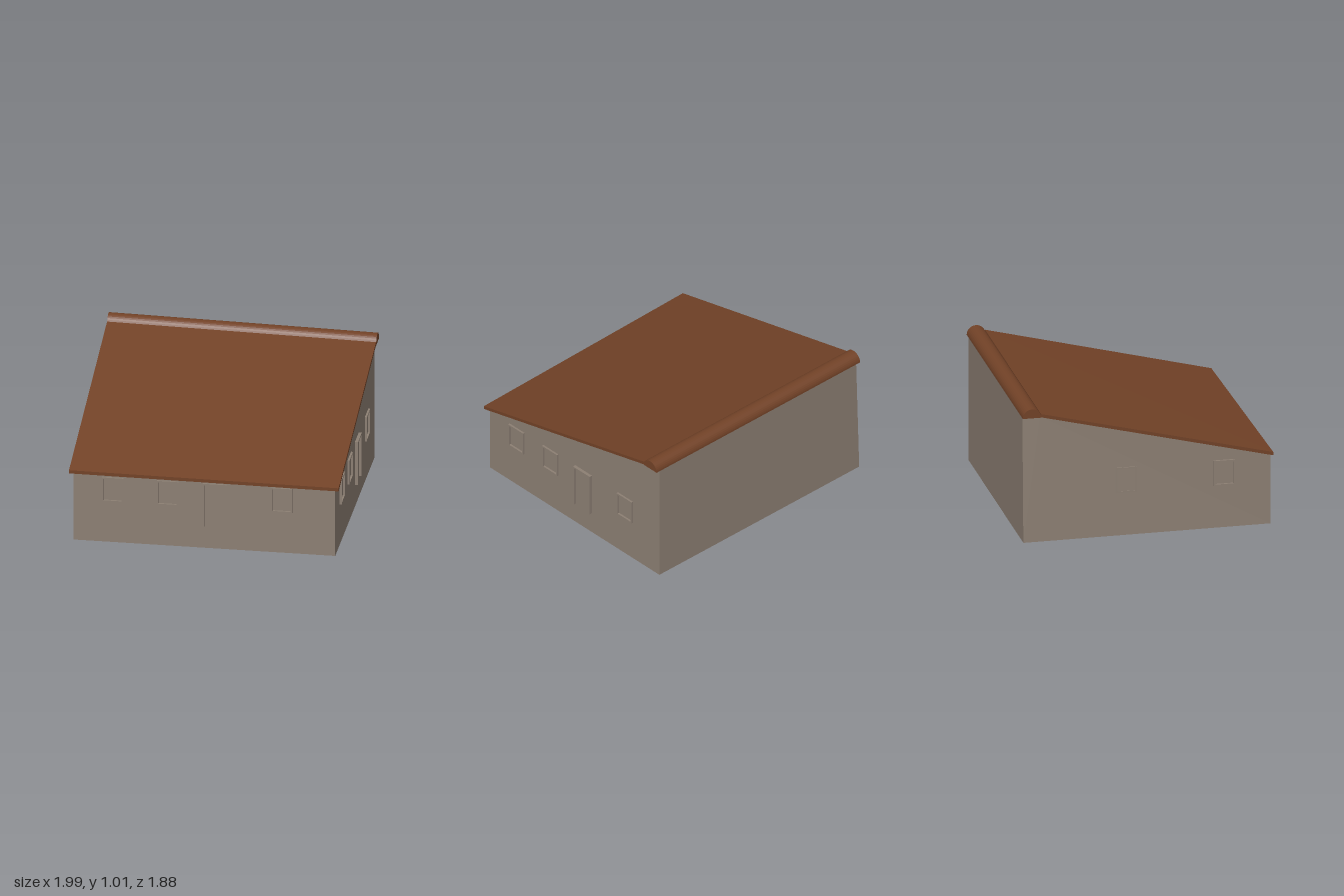
import * as THREE from 'three';

const wallMat = new THREE.MeshStandardMaterial({ color: 0x8c7f73, side: THREE.DoubleSide });
wallMat.name = 'stone wall';
const roofMat = new THREE.MeshStandardMaterial({ color: 0x724227 });
roofMat.name = 'brown roof';

// Flat-shaded mesh from convex polygons, each cut into a triangle fan
function polygons(name, faces, material) {
  const pos = [];
  for (const f of faces)
    for (let i = 1; i < f.length - 1; i++) pos.push(...f[0], ...f[i], ...f[i + 1]);
  const g = new THREE.BufferGeometry();
  g.setAttribute('position', new THREE.Float32BufferAttribute(pos, 3));
  g.computeVertexNormals();
  const mesh = new THREE.Mesh(g, material);
  mesh.name = name;
  return mesh;
}

// Solid between a profile at the -x end and a matching one at the +x end
function prism(name, a, b, material) {
  const faces = [b, [...a].reverse()];
  a.forEach((p, i) => {
    const j = (i + 1) % a.length;
    faces.push([b[i], p, a[j], b[j]]);
  });
  return polygons(name, faces, material);
}

// Frame around an opening; a door has a leaf in place of the bottom bar
function frame(name, w, h, depth, isDoor) {
  const group = new THREE.Group();
  group.name = name;
  const t = 0.012;
  const bar = (part, bw, bh, bd, x, y, z) => {
    const m = new THREE.Mesh(new THREE.BoxGeometry(bw, bh, bd), wallMat);
    m.name = part;
    m.position.set(x, y, z);
    group.add(m);
  };
  for (const s of [-1, 1]) bar('frameSide', t, h, depth, s * (w - t) / 2, h / 2, 0);
  bar('frameTop', w - 2 * t, t, depth, 0, h - t / 2, 0);
  if (isDoor) bar('doorLeaf', w - 2 * t, h - t, 0.009, 0, (h - t) / 2, 0);
  else bar('frameSill', w - 2 * t, t, depth, 0, t / 2, 0);
  return group;
}

export function createModel() {
  const model = new THREE.Group();
  model.name = 'house';

  // Thin outer walls, slightly out of square and open underneath
  const eave = 0.53, top = 0.947;
  const L = [[-0.97, eave, 0.905], [-0.97, 0, 0.905], [-0.985, 0, -0.94], [-0.955, top, -0.94], [-0.957, top, -0.81]];
  const R = [[0.95, eave, 0.905], [0.95, 0, 0.905], [0.96, 0, -0.875], [0.96, top, -0.875], [0.96, top, -0.745]];
  model.add(
    polygons('leftHandWall', [[...L].reverse()], wallMat),
    polygons('rightHandWall', [R], wallMat),
    polygons('frontWall', [[L[1], R[1], R[0], L[0]]], wallMat),
    polygons('backWall', [[R[2], L[2], L[3], R[3]]], wallMat),
  );

  // Sloping roof slab: underside front, underside back, top back, top front
  model.add(prism('roof',
    [[-1, 0.528, 0.92], [-0.99, 0.95, -0.81], [-0.99, 0.975, -0.81], [-1, 0.553, 0.92]],
    [[0.98, 0.528, 0.94], [0.992, 0.95, -0.745], [0.992, 0.975, -0.745], [0.98, 0.553, 0.94]], roofMat));

  // Half-round ridge cap along the back
  const cap = (x, z) => {
    const pts = [];
    for (let i = 0; i <= 16; i++) {
      const a = Math.PI * (1 - i / 16);
      pts.push([x, 0.947 + 0.068 * Math.sin(a), z + 0.069 * Math.cos(a)]);
    }
    return pts;
  };
  model.add(prism('ridgeCap', cap(-0.99, -0.876), cap(0.993, -0.812), roofMat));

  // Front and +x side openings: position along the wall, and whether a door
  const place = (isDoor, x, z, turn, depth) => {
    const f = frame(isDoor ? 'doorFrame' : 'windowFrame', isDoor ? 0.175 : 0.157, isDoor ? 0.34 : 0.192, depth, isDoor);
    f.position.set(x, isDoor ? 0.172 : 0.32, z);
    f.rotation.y = turn;
    model.add(f);
  };
  for (const [x, door] of [[-0.68, false], [-0.277, false], [0.067, true], [0.557, false]])
    place(door, x, 0.905, 0, 0.03);
  for (const [z, door] of [[0.622, false], [0.265, false], [-0.078, true], [-0.518, false]])
    place(door, 0.9551 - z * 0.0056, z, Math.PI / 2, door ? 0.046 : 0.03);

  // Two -x side windows, the rear one nearly sunk into the leaning wall
  place(false, -0.97, 0.56, -Math.PI / 2, 0.03);
  place(false, -0.958, -0.17, -Math.PI / 2, 0.03);
  return model;
}
